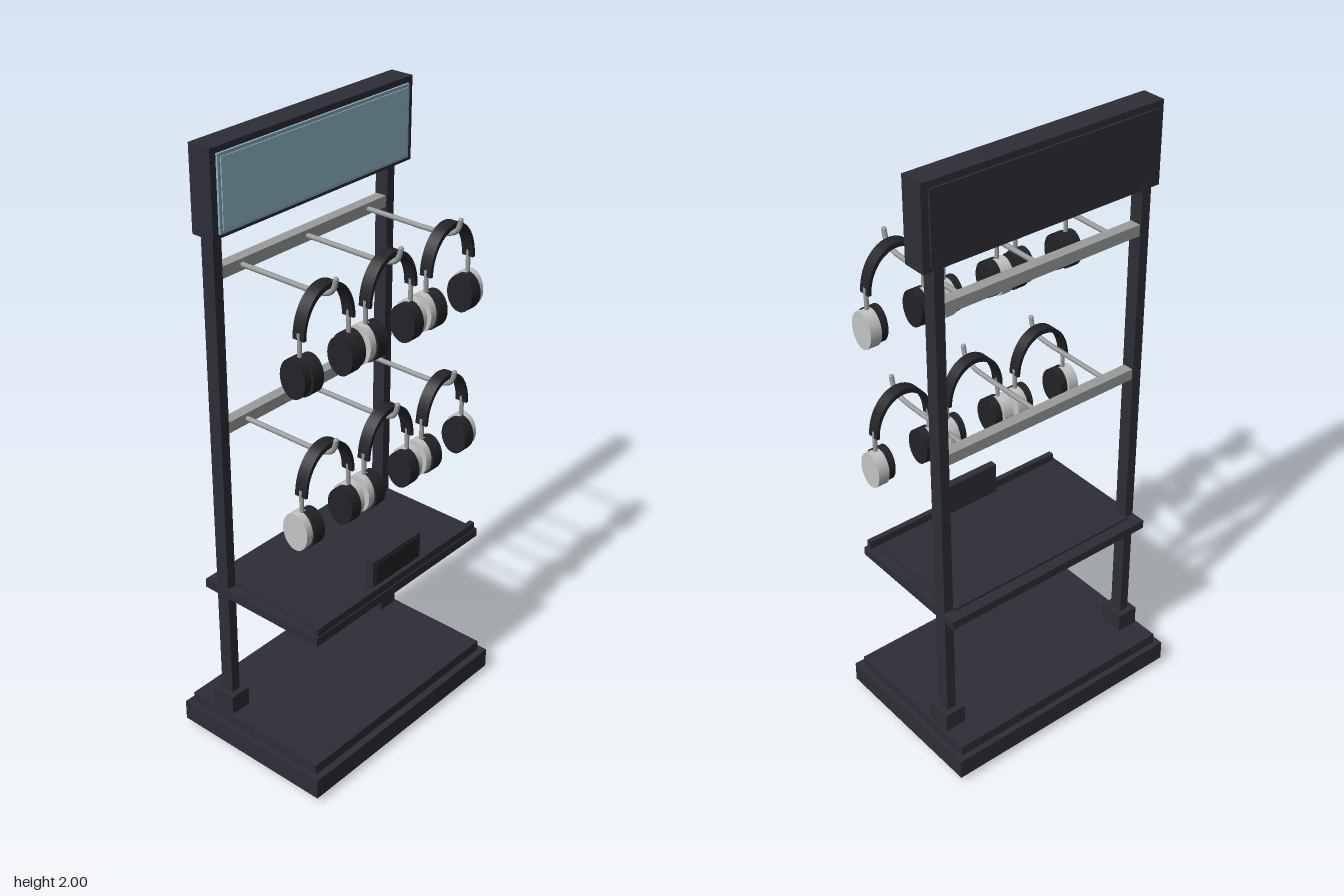
import * as THREE from 'three';

const mat = (name, color) => {
  const m = new THREE.MeshStandardMaterial({ color });
  m.name = name;
  return m;
};

export function createModel() {
  const root = new THREE.Group();
  root.name = 'headphoneDisplayStand';
  const frame = mat('charcoal frame', 0x2d2d36);
  const black = mat('black plastic', 0x232328);
  const metal = mat('brushed metal', 0x9a9c9c);
  const silver = mat('light silver', 0xc4c6c6);
  const glow = mat('pale blue panel', 0x96bfcf);
  const glowEdge = mat('panel edge blue', 0x86aebd);

  const add = (parent, name, geo, material, x = 0, y = 0, z = 0) => {
    const m = new THREE.Mesh(geo, material);
    m.name = name;
    m.position.set(x, y, z);
    parent.add(m);
    return m;
  };
  // Box given by its limits on each axis
  const box = (name, material, x0, x1, y0, y1, z0, z1) =>
    add(root, name, new THREE.BoxGeometry(x1 - x0, y1 - y0, z1 - z0), material,
      (x0 + x1) / 2, (y0 + y1) / 2, (z0 + z1) / 2);

  // Base with four feet
  box('baseSlab', frame, -0.428, 0.428, 0.022, 0.09, -0.285, 0.285);
  box('baseTop', frame, -0.408, 0.408, 0.09, 0.125, -0.265, 0.262);
  for (const x of [-0.33, 0.33]) for (const z of [-0.2, 0.2])
    box('foot', black, x - 0.06, x + 0.06, 0, 0.022, z - 0.05, z + 0.05);

  // Posts and their sockets
  for (const x of [-0.365, 0.365]) {
    box('postSocket', frame, x - 0.036, x + 0.036, 0.125, 0.19, -0.18, -0.095);
    box('post', frame, x - 0.016, x + 0.016, 0.125, 1.76, -0.16, -0.115);
  }

  // Shelf, mat, front lip and card holder
  box('shelf', frame, -0.385, 0.385, 0.558, 0.587, -0.207, 0.25);
  box('shelfMat', frame, -0.35, 0.35, 0.587, 0.595, -0.17, 0.215);
  box('shelfLip', frame, -0.375, 0.375, 0.587, 0.613, 0.228, 0.246);
  box('cardHolder', frame, -0.112, 0.112, 0.595, 0.702, 0.206, 0.232);
  box('cardFace', black, -0.1, 0.1, 0.616, 0.692, 0.232, 0.235);

  // Header box with lit front and back cover
  box('header', frame, -0.413, 0.413, 1.745, 2, -0.158, -0.08);
  box('headerBack', frame, -0.39, 0.39, 1.765, 1.98, -0.165, -0.158);
  box('headerPanelEdge', glowEdge, -0.392, 0.392, 1.758, 1.982, -0.08, -0.073);
  box('headerPanel', glow, -0.382, 0.382, 1.768, 1.972, -0.073, -0.07);

  // Flat arch of the headband, thinner towards its ends
  const arch = new THREE.Shape();
  arch.absellipse(0, 0, 0.104, 0.135, 0, Math.PI, false);
  arch.absellipse(0, 0, 0.094, 0.119, Math.PI, 0, true);
  const bandGeo = new THREE.ExtrudeGeometry(arch, { depth: 0.04, bevelEnabled: false, curveSegments: 24 });
  const stemGeo = new THREE.CylinderGeometry(0.007, 0.007, 0.085, 12);
  // Oval drum lying along x
  const drum = (w, ry, rz) =>
    new THREE.CylinderGeometry(1, 1, w, 36).rotateZ(Math.PI / 2).scale(1, ry, rz);
  const shellGeo = drum(0.038, 0.06, 0.046);
  const padGeo = drum(0.042, 0.059, 0.046);

  const headphones = (shellMat) => {
    const g = new THREE.Group();
    g.name = 'headphones';
    add(g, 'headband', bandGeo, black, 0, -0.095, -0.02);
    for (const s of [-1, 1]) {
      add(g, 'stem', stemGeo, metal, s * 0.099, -0.118, 0);
      add(g, 'earShell', shellGeo, shellMat, s * 0.105, -0.204, -0.004);
      add(g, 'earPad', padGeo, black, s * 0.079, -0.204, 0.004);
    }
    return g;
  };

  // Rod that runs forward and turns up at the tip
  const hookPath = new THREE.CatmullRomCurve3([
    [-0.13, 0], [0, 0], [0.13, 0], [0.175, 0.004], [0.205, 0.016], [0.217, 0.034], [0.222, 0.056],
  ].map(([z, y]) => new THREE.Vector3(0, y, z)));
  const hookGeo = new THREE.TubeGeometry(hookPath, 40, 0.008, 10);
  const tipGeo = new THREE.SphereGeometry(0.008, 10, 8);

  // Two rails, each with three hooks and headphones
  [1.62, 1.134].forEach((y, row) => {
    box('rail', metal, -0.349, 0.349, y - 0.018, y + 0.018, -0.156, -0.12);
    [-0.268, 0, 0.268].forEach((x, col) => {
      add(root, 'hook', hookGeo, metal, x, y, 0);
      add(root, 'hookTip', tipGeo, metal, x, y + 0.056, 0.222);
      const h = headphones(row === 0 && col === 0 ? black : silver);
      h.position.set(x, y, 0.181);
      root.add(h);
    });
  });
  return root;
}
